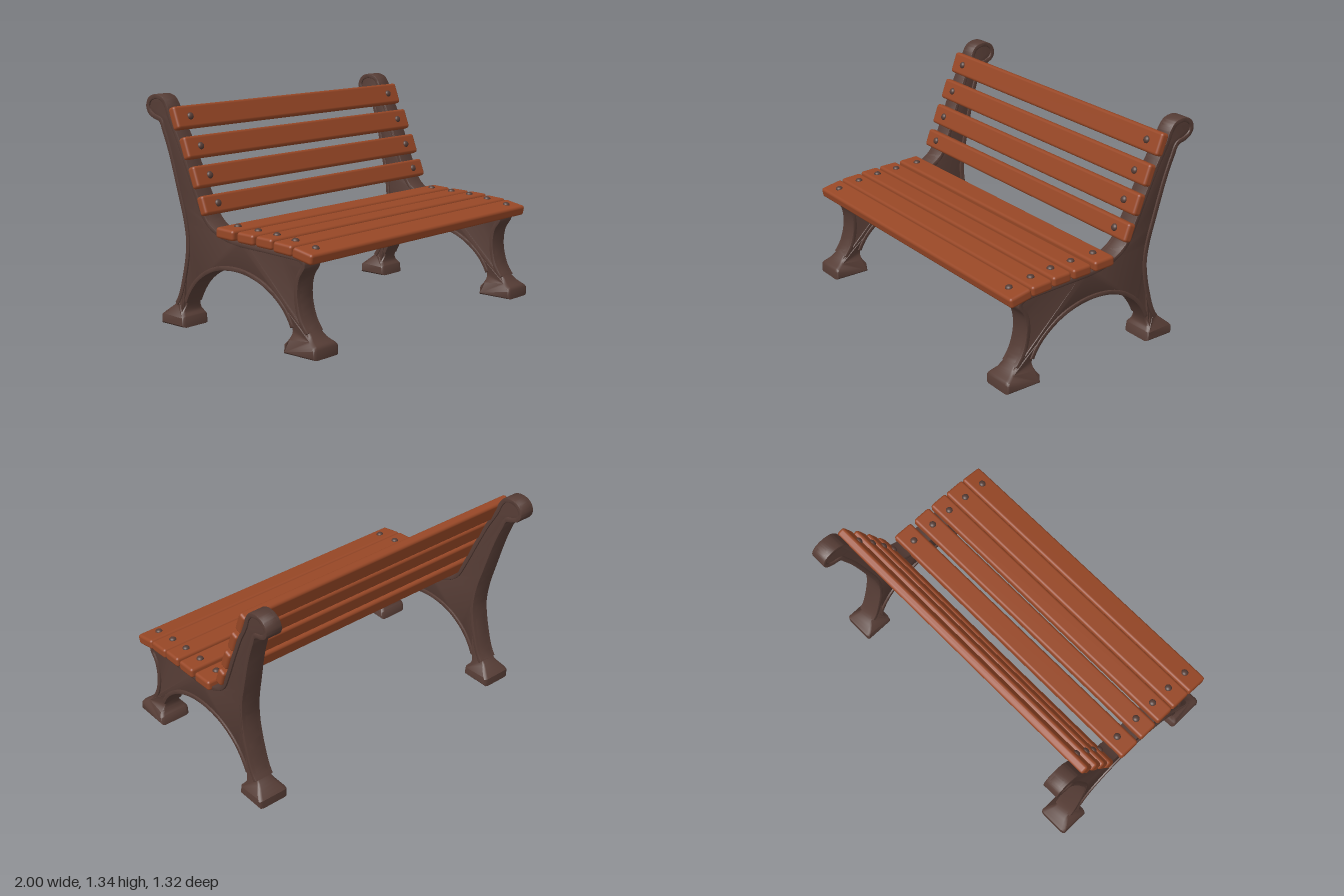
import * as THREE from 'three';
import { toCreasedNormals } from 'three/addons/utils/BufferGeometryUtils.js';
import { RoundedBoxGeometry } from 'three/addons/geometries/RoundedBoxGeometry.js';

const wood = new THREE.MeshStandardMaterial({ color: 0x974726 });
wood.name = 'wood';
const iron = new THREE.MeshStandardMaterial({ color: 0x553c35 });
iron.name = 'castIron';

// Side profile as [z, y]: front leg, seat rest, backrest, scroll, rear leg
const outerPath = [
  [0.655, 0.07], [0.61, 0.1], [0.54, 0.19], [0.507, 0.315], [0.52, 0.42], [0.562, 0.49], [0.55, 0.53],
  [0.31, 0.553], [0.02, 0.567], [-0.1, 0.6], [-0.185, 0.66], [-0.245, 0.775], [-0.315, 0.94],
  [-0.386, 1.1], [-0.45, 1.22], [-0.475, 1.285], [-0.51, 1.328], [-0.575, 1.343], [-0.635, 1.32],
  [-0.657, 1.27], [-0.64, 1.227], [-0.595, 1.2], [-0.55, 1.185], [-0.525, 1.13], [-0.48, 1.01],
  [-0.42, 0.795], [-0.38, 0.635], [-0.368, 0.49], [-0.404, 0.296], [-0.457, 0.153], [-0.54, 0.07],
];
// Arch between the legs, rear to front
const archPath = [
  [-0.365, 0.06], [-0.385, 0.09], [-0.36, 0.17], [-0.28, 0.278], [-0.155, 0.356], [-0.012, 0.385],
  [0.13, 0.374], [0.27, 0.324], [0.397, 0.225], [0.457, 0.12], [0.452, 0.08], [0.435, 0.055],
];

function sample(path, count) {
  const curve = new THREE.CatmullRomCurve3(path.map(([z, y]) => new THREE.Vector3(z, y, 0)));
  return curve.getPoints(count).map((p) => new THREE.Vector2(p.x, p.y));
}

// Extrude a profile across x, widen it at the feet and lean it outward at the top
function castPart(points, thickness, bevel, side) {
  const geo = new THREE.ExtrudeGeometry(new THREE.Shape(points), {
    depth: thickness - 2 * bevel, bevelEnabled: true, bevelThickness: bevel,
    bevelSize: bevel, bevelOffset: -bevel, bevelSegments: 2,
  });
  geo.translate(0, 0, -thickness / 2 + bevel);
  geo.rotateY(-Math.PI / 2);
  const pos = geo.attributes.position;
  for (let i = 0; i < pos.count; i++) {
    const y = pos.getY(i);
    const flare = THREE.MathUtils.lerp(1.9, 1, THREE.MathUtils.smoothstep(y, 0.045, 0.13));
    const taper = 1 - 0.2 * THREE.MathUtils.clamp((y - 0.7) / 0.6, 0, 1);
    const centre = 0.9 + 0.04 * THREE.MathUtils.clamp((y - 0.5) / 0.8, 0, 1);
    pos.setX(i, side * centre + pos.getX(i) * flare * taper);
  }
  return toCreasedNormals(geo, 0.7);
}

// Band running just inside an edge of the profile
function bandAlong(edge, width) {
  const pts = edge.filter((p) => p.y > 0.13);
  const inner = pts.map((p, i) => {
    const a = pts[Math.max(i - 1, 0)];
    const b = pts[Math.min(i + 1, pts.length - 1)];
    const t = b.clone().sub(a).normalize();
    return new THREE.Vector2(p.x - t.y * width, p.y + t.x * width);
  });
  return [...pts, ...inner.reverse()];
}

function mesh(name, geometry, material) {
  const m = new THREE.Mesh(geometry, material);
  m.name = name;
  return m;
}

function makeFrame(side) {
  const frame = new THREE.Group();
  frame.name = side > 0 ? 'leftFrame' : 'rightFrame';
  const outer = sample(outerPath, 150);
  const arch = sample(archPath, 60);
  const v = (z, y) => new THREE.Vector2(z, y);
  const profile = [
    v(0.43, 0), v(0.664, 0), v(0.664, 0.055), ...outer,
    v(-0.557, 0.055), v(-0.557, 0), v(-0.36, 0), ...arch,
  ];
  frame.add(
    mesh('frameBody', castPart(profile, 0.105, 0.012, side), iron),
    mesh('outerRim', castPart(bandAlong(outer, 0.028), 0.127, 0.006, side), iron),
    mesh('archRim', castPart(bandAlong(arch, 0.026), 0.127, 0.006, side), iron),
  );
  return frame;
}

// Plank with a domed bolt at each end; the bolts sit on its local +y face
function makeSlat(name, z, y, width, thickness, tilt) {
  const slat = new THREE.Group();
  slat.name = name;
  slat.add(mesh('plank', new RoundedBoxGeometry(1.985, thickness, width, 3, 0.017), wood));
  for (const side of [-1, 1]) {
    const bolt = mesh('bolt', new THREE.SphereGeometry(0.022, 16, 8, 0, Math.PI * 2, 0, Math.PI / 2), iron);
    bolt.scale.y = 0.75;
    bolt.position.set(side * 0.885, thickness / 2 - 0.001, 0);
    slat.add(bolt);
  }
  slat.position.set(0, y, z);
  slat.rotation.x = tilt;
  return slat;
}

export function createModel() {
  const bench = new THREE.Group();
  bench.name = 'bench';
  bench.add(makeFrame(1), makeFrame(-1));

  // Seat slats, front to back: z, y, width, tilt
  [
    [0.565, 0.555, 0.146, 0.19], [0.421, 0.575, 0.138, 0.06], [0.283, 0.588, 0.124, 0.03],
    [0.14, 0.592, 0.128, 0.02], [-0.021, 0.597, 0.14, 0.04],
  ].forEach(([z, y, w, tilt]) => bench.add(makeSlat('seatSlat', z, y, w, 0.062, tilt)));

  // Backrest slats, bottom to top: z, y, width
  [
    [-0.203, 0.734, 0.112], [-0.267, 0.888, 0.128], [-0.338, 1.048, 0.13], [-0.421, 1.212, 0.135],
  ].forEach(([z, y, w]) => bench.add(makeSlat('backSlat', z, y, w, 0.056, Math.PI / 2 - 0.36)));

  return bench;
}
